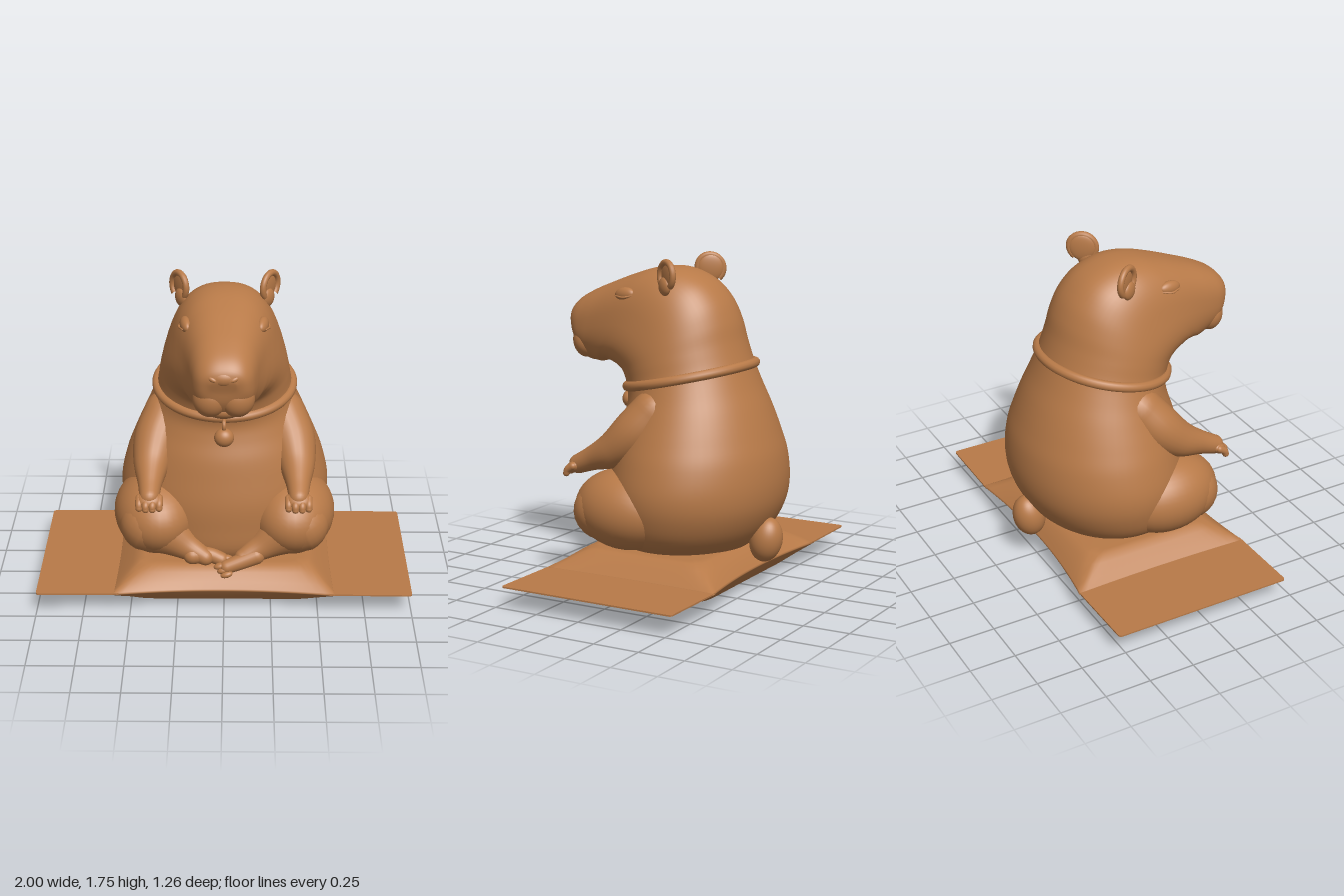
import * as THREE from 'three';

const V = (x, y, z) => new THREE.Vector3(x, y, z);
const mat = new THREE.MeshStandardMaterial({ color: 0xb87a48 });

function add(parent, name, geo) {
  const m = new THREE.Mesh(geo, mat);
  m.name = name;
  parent.add(m);
  return m;
}

// Skin over rings of points (each ring counter-clockwise about the loft direction)
function loft(rings) {
  const n = rings[0].length, pos = [], idx = [];
  rings.forEach(r => r.forEach(p => pos.push(p.x, p.y, p.z)));
  for (let i = 0; i < rings.length - 1; i++) {
    for (let j = 0; j < n; j++) {
      const a = i * n + j, b = i * n + (j + 1) % n;
      idx.push(a, b, b + n, a, b + n, a + n);
    }
  }
  const g = new THREE.BufferGeometry();
  g.setAttribute('position', new THREE.Float32BufferAttribute(pos, 3));
  g.setIndex(idx);
  g.computeVertexNormals();
  return g;
}

function ellipsoid(parent, name, [x, y, z], [rx, ry, rz], [ax, ay, az] = [0, 0, 0]) {
  const m = add(parent, name, new THREE.SphereGeometry(1, 36, 24));
  m.position.set(x, y, z);
  m.scale.set(rx, ry, rz);
  m.rotation.set(ax, ay, az);
  return m;
}

// Round limb through [x, y, z, radius] stations with domed ends
function limb(parent, name, st) {
  const path = new THREE.CatmullRomCurve3(st.map(s => V(s[0], s[1], s[2])), false, 'catmullrom');
  const rad = new THREE.CatmullRomCurve3(st.map(s => V(s[3], 0, 0)), false, 'catmullrom');
  const N = 28, R = 24, C = 7, fr = path.computeFrenetFrames(N), rings = [];
  const ring = (i, shift, k) => {
    // frames are spaced by arc length, so radii use the matching parameter
    const u = path.getUtoTmapping(i / N), r = rad.getPoint(u).x;
    const c = path.getPoint(u).addScaledVector(fr.tangents[i], shift * r);
    rings.push(Array.from({ length: R }, (_, j) => {
      const a = j / R * Math.PI * 2;
      return c.clone().addScaledVector(fr.normals[i], r * k * Math.cos(a))
        .addScaledVector(fr.binormals[i], r * k * Math.sin(a));
    }));
  };
  for (let i = 0; i < C; i++) { const a = i / C * Math.PI / 2; ring(0, -Math.cos(a), Math.sin(a)); }
  for (let i = 0; i <= N; i++) ring(i, 0, 1);
  for (let i = C - 1; i >= 0; i--) { const a = i / C * Math.PI / 2; ring(N, Math.cos(a), Math.sin(a)); }
  return add(parent, name, loft(rings));
}

// Body sections from seat to nose: back z, y, front z, y, half width
const SECTIONS = [
  [-0.38, 0.19, 0.25, 0.19, 0.36], [-0.50, 0.29, 0.31, 0.29, 0.49], [-0.575, 0.42, 0.32, 0.42, 0.55],
  [-0.60, 0.55, 0.32, 0.55, 0.565], [-0.59, 0.70, 0.30, 0.69, 0.535], [-0.555, 0.83, 0.28, 0.80, 0.49],
  [-0.51, 0.96, 0.25, 0.90, 0.44], [-0.46, 1.08, 0.235, 0.98, 0.395], [-0.415, 1.20, 0.25, 1.05, 0.36],
  [-0.38, 1.31, 0.275, 1.11, 0.345], [-0.35, 1.42, 0.31, 1.14, 0.33], [-0.295, 1.53, 0.345, 1.155, 0.31],
  [-0.20, 1.625, 0.38, 1.165, 0.285], [-0.06, 1.683, 0.41, 1.16, 0.258], [0.08, 1.683, 0.44, 1.15, 0.233],
  [0.22, 1.645, 0.47, 1.155, 0.208], [0.36, 1.593, 0.50, 1.165, 0.185], [0.47, 1.548, 0.53, 1.18, 0.168],
  [0.56, 1.50, 0.56, 1.21, 0.148], [0.61, 1.45, 0.59, 1.265, 0.115], [0.628, 1.40, 0.605, 1.33, 0.06],
];
const backLine = new THREE.CatmullRomCurve3(SECTIONS.map(s => V(s[4], s[1], s[0])), false, 'catmullrom');
const frontLine = new THREE.CatmullRomCurve3(SECTIONS.map(s => V(0, s[3], s[2])), false, 'catmullrom');

function bodyRing(t, n = 64, k = 1) {
  const b = backLine.getPoint(t), f = frontLine.getPoint(t), w = b.x * k;
  b.x = 0;
  const c = b.clone().add(f).multiplyScalar(0.5), d = f.clone().sub(b).multiplyScalar(0.5 * k);
  const p = THREE.MathUtils.lerp(1, 0.82, THREE.MathUtils.smoothstep(t, 0.45, 0.65));
  const pw = v => Math.sign(v) * Math.abs(v) ** p;
  return Array.from({ length: n }, (_, j) => {
    const a = j / n * Math.PI * 2;
    return c.clone().addScaledVector(d, pw(Math.cos(a))).add(V(w * pw(Math.sin(a)), 0, 0));
  });
}

// Pillow outline with pinched sides, drawn in by inset
function cushionRing(y, inset, k = 1) {
  const n = 24, pts = [], hx = 0.59 - inset, hz = 0.505 - inset * 1.15;
  const pinch = 0.05 * Math.max(0, 1 - inset / 0.1);
  const round = 0.25 * inset;
  const corners = [[-1, 1], [1, 1], [1, -1], [-1, -1]];
  corners.forEach(([x0, z0], i) => {
    const [x1, z1] = corners[(i + 1) % 4];
    for (let j = 0; j < n; j++) {
      const s = j / n, x = x0 + (x1 - x0) * s, z = z0 + (z1 - z0) * s;
      const e = (x * z) ** 2, q = 1 - e;
      pts.push(V(k * (x * hx - Math.sign(x) * (Math.abs(x) === 1 ? pinch * 0.25 * q : 0) - x * round * e ** 6),
        y, k * (z * hz - (Math.abs(z) === 1 ? z * pinch * q : 0) - z * round * e ** 6) - 0.04));
    }
  });
  return pts;
}

export function createModel() {
  const model = new THREE.Group();
  model.name = 'seatedAnimalOnCushion';

  // Cushion with flat side panels
  const profile = [[0, 0.16], [0.006, 0.135], [0.03, 0.095], [0.07, 0.045], [0.105, 0.006], [0.112, 0],
    [0.119, 0.006], [0.15, 0.045], [0.19, 0.095], [0.214, 0.13], [0.22, 0.16]];
  add(model, 'cushion', loft([cushionRing(0, 0.16, 0), ...profile.map(p => cushionRing(...p)),
    cushionRing(0.22, 0.16, 0)]));
  for (const s of [1, -1]) {
    const shape = new THREE.Shape().moveTo(0.56, -0.46).lineTo(0.98, -0.465)
      .quadraticCurveTo(1, -0.465, 1, -0.445).lineTo(1, 0.515)
      .quadraticCurveTo(1, 0.535, 0.98, 0.535).lineTo(0.56, 0.54);
    const g = new THREE.ExtrudeGeometry(shape, { depth: 0.008, bevelEnabled: false });
    g.rotateX(-Math.PI / 2);
    if (s < 0) g.rotateZ(Math.PI).translate(0, 0.008, 0);
    add(model, s > 0 ? 'leftPanel' : 'rightPanel', g).position.y = 0.109;
  }

  // Torso, neck and head in one skin
  const rings = [bodyRing(0, 64, 0)];
  for (let i = 0; i <= 100; i++) rings.push(bodyRing(i / 100));
  rings.push(bodyRing(1, 64, 0.5), bodyRing(1, 64, 0));
  add(model, 'body', loft(rings));

  // Collar and bell
  const band = new THREE.CatmullRomCurve3(bodyRing(7.9 / 20, 40, 1.0), true);
  add(model, 'collar', new THREE.TubeGeometry(band, 96, 0.026, 12, true));
  ellipsoid(model, 'bell', [0, 0.95, 0.29], [0.052, 0.05, 0.045]);
  add(model, 'bellLoop', new THREE.TorusGeometry(0.026, 0.011, 10, 24).rotateY(Math.PI / 2))
    .position.set(0, 1.015, 0.275);

  // Muzzle and tail
  ellipsoid(model, 'nose', [0, 1.405, 0.575], [0.085, 0.05, 0.055], [0.35, 0, 0]);
  ellipsoid(model, 'chin', [0, 1.2, 0.49], [0.1, 0.05, 0.07]);
  ellipsoid(model, 'tail', [0, 0.265, -0.54], [0.088, 0.122, 0.088], [-0.2, 0, 0]);

  for (const s of [1, -1]) {
    const side = new THREE.Group();
    side.name = s > 0 ? 'leftSide' : 'rightSide';
    model.add(side);
    const M = st => st.map(([x, ...r]) => [x * s, ...r]);

    // Face
    ellipsoid(side, 'cheekPad', [0.07 * s, 1.265, 0.525], [0.088, 0.095, 0.075], [0.1, 0.25 * s, 0]);
    ellipsoid(side, 'nostril', [0.055 * s, 1.405, 0.61], [0.028, 0.014, 0.016], [0, 0.4 * s, 0.4 * s]);
    ellipsoid(side, 'eyelid', [0.198 * s, 1.545, 0.205], [0.028, 0.036, 0.066], [0.1, -0.2 * s, 0.25 * s]);
    limb(side, 'eyeCrease', M([[0.222, 1.54, 0.15, 0.004], [0.232, 1.53, 0.2, 0.006], [0.214, 1.535, 0.255, 0.004]]));

    // Ear: shallow cup with a rolled rim
    const ear = new THREE.Group();
    ear.name = 'ear';
    ear.position.set(0.238 * s, 1.66, -0.07);
    ear.rotation.set(0, 1.0 * s, -0.1 * s);
    side.add(ear);
    const rim = add(ear, 'earRim', new THREE.TorusGeometry(0.068, 0.017, 12, 40, Math.PI * 1.5));
    rim.rotation.z = -Math.PI * 0.25;
    rim.scale.y = 1.05;
    ellipsoid(ear, 'earCup', [0, 0, -0.01], [0.07, 0.074, 0.018]);
    ellipsoid(ear, 'earRoot', [-0.015 * s, -0.06, 0], [0.05, 0.05, 0.025]);

    // Arm, hand and fingers
    limb(side, 'arm', M([[0.31, 0.95, -0.04, 0.125], [0.36, 0.84, 0.05, 0.125], [0.385, 0.75, 0.16, 0.1],
      [0.39, 0.69, 0.29, 0.066], [0.39, 0.65, 0.38, 0.052]]));
    ellipsoid(side, 'hand', [0.39 * s, 0.64, 0.39], [0.068, 0.036, 0.055], [0.5, 0, 0]);
    for (let i = 0; i < 4; i++) {
      const x = 0.338 + i * 0.035, f = i % 3 ? 0.015 : 0;
      limb(side, 'finger', M([[x, 0.645, 0.385, 0.02], [x, 0.625, 0.415 + f, 0.02], [x, 0.604, 0.425 + f, 0.018]]));
    }

    // Folded leg: thigh, shin, foot and toes; the feet overlap in the middle
    ellipsoid(side, 'thigh', [0.368 * s, 0.435, 0.09], [0.228, 0.217, 0.305], [0, -0.1 * s, 0]);
    limb(side, 'shin', M([[0.4, 0.42, 0.22, 0.16], [0.29, 0.37, 0.25, 0.125], [0.19, 0.31, 0.29, 0.075], [0.1, 0.27, 0.33, 0.045]]));
    const up = s > 0 ? 0 : 0.025, out = s > 0 ? 0 : 0.04;
    limb(side, 'foot', M([[0.17, 0.28, 0.33, 0.048], [0.08, 0.25 + up, 0.35 - out, 0.043],
      [0.015, 0.23 + up, 0.365 - out, 0.038]]));
    for (let i = 0; i < 3; i++) {
      ellipsoid(side, 'toe', [(-0.022 + i * 0.018) * s, 0.235 - i * 0.018 + up, 0.365 + i * 0.014 - out],
        [0.034, 0.018, 0.023], [0, 0, 0.3 * s]);
    }
  }
  return model;
}
